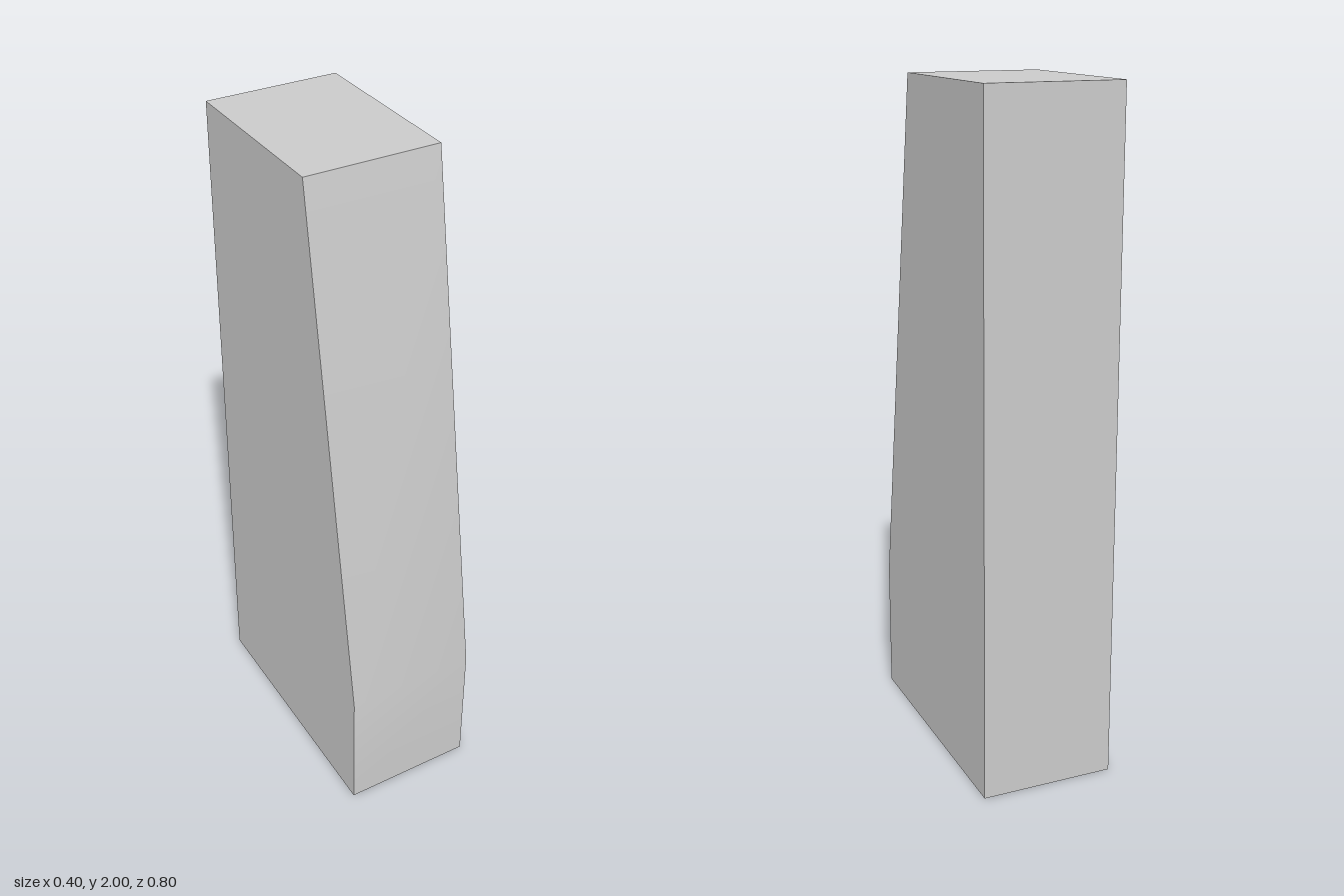
import * as THREE from 'three';
import { toCreasedNormals } from 'three/addons/utils/BufferGeometryUtils.js';

const WIDTH = 0.4;

export function createModel() {
  const group = new THREE.Group();
  group.name = 'taperedPillar';

  // Side profile as (z, y): straight foot, then a front that slopes back to the top
  const profile = new THREE.Shape([
    [-0.4, 0], [0.4, 0], [0.4, 0.4], [0.14, 2], [-0.4, 2],
  ].map(([z, y]) => new THREE.Vector2(z, y)));

  // Extrude across the width, turning the profile to face +z
  const geometry = new THREE.ExtrudeGeometry(profile, { depth: WIDTH, bevelEnabled: false });
  geometry.rotateY(-Math.PI / 2).translate(WIDTH / 2, 0, 0);

  // Soft bend on the front, sharp edges elsewhere
  const pillar = new THREE.Mesh(
    toCreasedNormals(geometry, Math.PI / 6),
    new THREE.MeshStandardMaterial({ color: 0xcccccc }),
  );
  pillar.name = 'pillar';
  group.add(pillar);
  return group;
}
